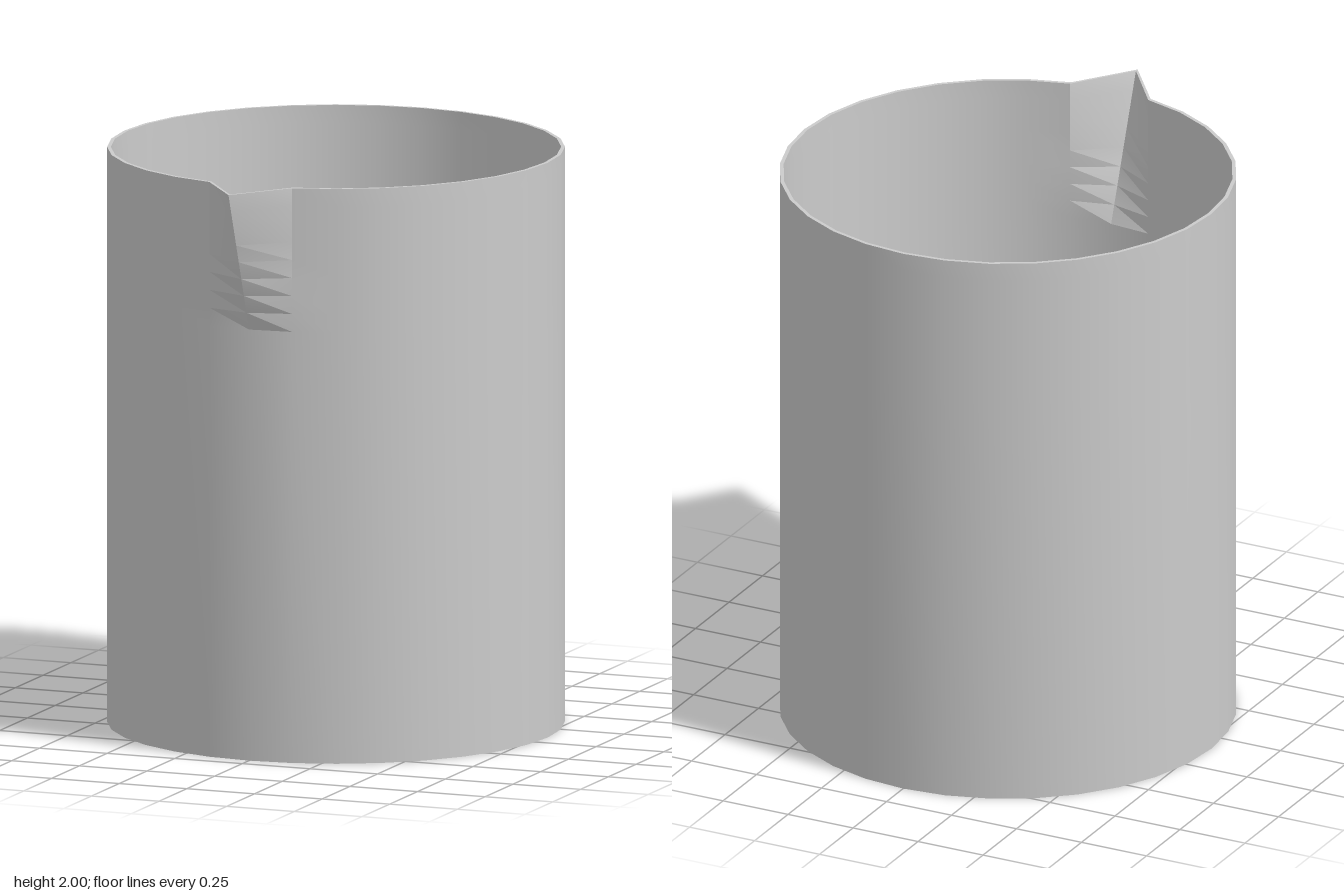
import * as THREE from 'three';
import { toCreasedNormals } from 'three/addons/utils/BufferGeometryUtils.js';

const R = 0.783, WALL = 0.013, HEIGHT = 2, SPOUT_BASE = 1.5, SPOUT_REACH = 0.185;
const SIDES = 32, CENTRE_Z = -0.093, SPOUT_ROWS = 8;

export function createModel() {
  const group = new THREE.Group();
  group.name = 'beaker';
  const point = (x, y) => new THREE.Vector2(x, y);

  // Closed wall profile: underside, outer wall, rim, inner wall, floor
  const outer = [], inner = [];
  for (let i = 0; i <= SPOUT_ROWS; i++) {
    const y = SPOUT_BASE + (HEIGHT - SPOUT_BASE) * i / SPOUT_ROWS;
    outer.push(point(R, y));
    inner.unshift(point(R - WALL, y));
  }
  const profile = [
    point(0, 0), point(R, 0), ...outer,
    ...inner, point(R - WALL, WALL), point(0, WALL),
  ];
  const geometry = new THREE.LatheGeometry(profile, SIDES);

  // Pouring spout: pull the front column outward, more towards the rim
  const pos = geometry.attributes.position;
  for (let i = 0; i < pos.count; i++) {
    const onFront = Math.abs(pos.getX(i)) < 1e-4 && pos.getZ(i) > R / 2;
    const rise = (pos.getY(i) - SPOUT_BASE) / (HEIGHT - SPOUT_BASE);
    if (onFront && rise > 0) pos.setZ(i, pos.getZ(i) + SPOUT_REACH * rise);
  }
  geometry.translate(0, 0, CENTRE_Z);

  const material = new THREE.MeshStandardMaterial({ color: 0xcccccc });
  const vessel = new THREE.Mesh(toCreasedNormals(geometry, 0.3), material);
  vessel.name = 'vesselWithSpout';
  group.add(vessel);
  return group;
}
